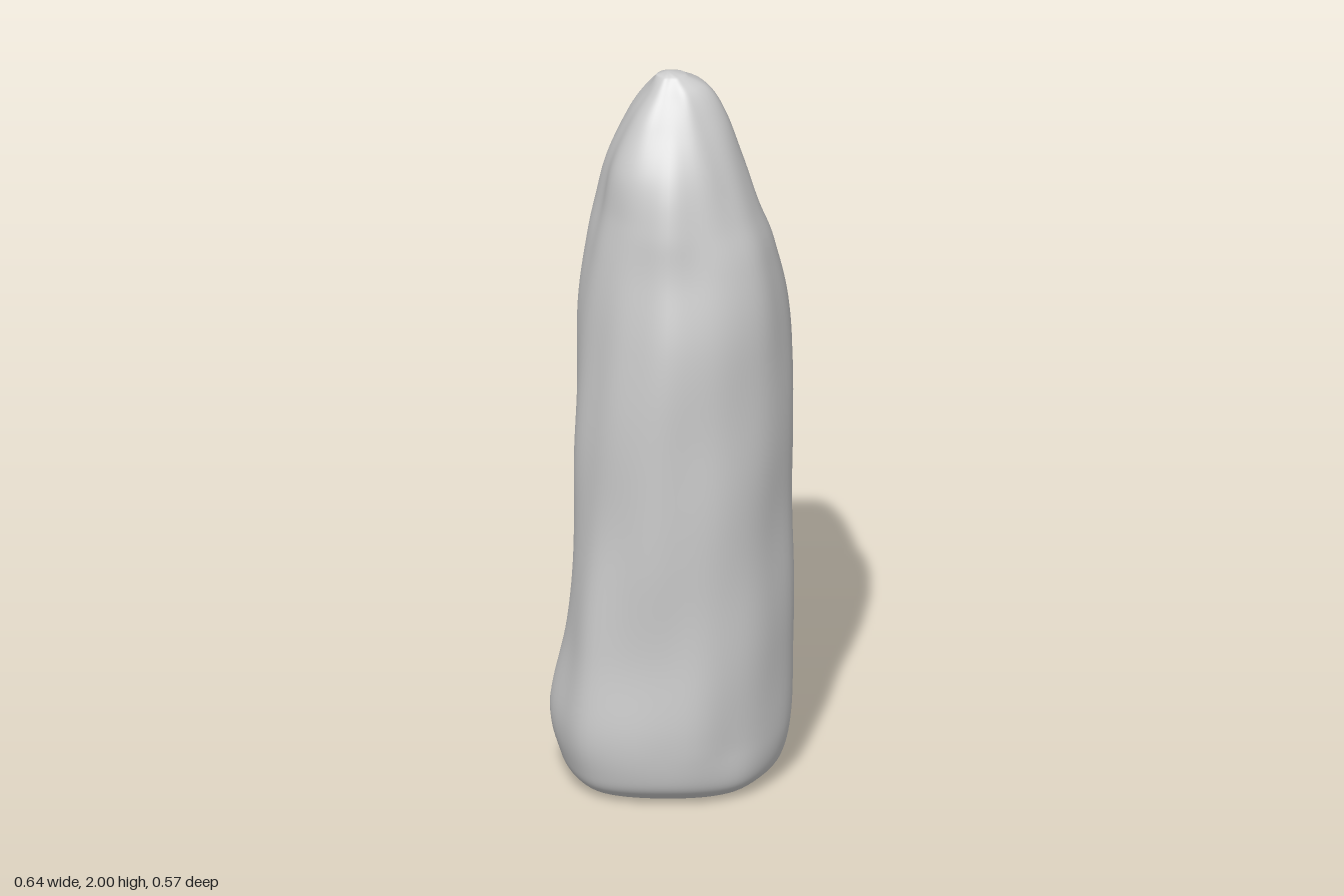
import * as THREE from 'three';

// Stone cross-sections: height, then radius toward
// +x, +x+z, +z, -x+z, -x, -x-z, -z, +x-z
const SECTIONS = [
  [0.00, 0.20, 0.20, 0.19, 0.22, 0.22, 0.18, 0.17, 0.20],
  [0.02, 0.25, 0.25, 0.23, 0.27, 0.26, 0.21, 0.21, 0.24],
  [0.07, 0.29, 0.28, 0.265, 0.30, 0.29, 0.24, 0.235, 0.275],
  [0.20, 0.312, 0.29, 0.278, 0.32, 0.315, 0.255, 0.255, 0.29],
  [0.42, 0.316, 0.295, 0.27, 0.298, 0.27, 0.275, 0.272, 0.285],
  [0.70, 0.308, 0.295, 0.277, 0.275, 0.255, 0.29, 0.278, 0.28],
  [1.00, 0.312, 0.29, 0.284, 0.26, 0.25, 0.285, 0.276, 0.305],
  [1.30, 0.305, 0.28, 0.268, 0.235, 0.242, 0.29, 0.24, 0.335],
  [1.50, 0.265, 0.25, 0.225, 0.21, 0.22, 0.265, 0.212, 0.285],
  [1.62, 0.225, 0.215, 0.205, 0.195, 0.195, 0.235, 0.195, 0.215],
  [1.75, 0.185, 0.17, 0.165, 0.18, 0.163, 0.195, 0.16, 0.19],
  [1.87, 0.145, 0.115, 0.10, 0.12, 0.11, 0.14, 0.115, 0.145],
  [1.95, 0.10, 0.07, 0.05, 0.06, 0.06, 0.08, 0.07, 0.095],
  [1.99, 0.035, 0.025, 0.02, 0.028, 0.04, 0.035, 0.03, 0.035],
];

const AROUND = 72, UP = 110;

// Shallow weathering: long vertical flutes broken up by soft dents
function weathering(a, y) {
  return 0.004 * Math.sin(5 * a + 1.6 * y + 0.6) * Math.sin(2.3 * y + a)
    + 0.003 * Math.sin(9 * a - 2.1 * y) * Math.cos(4.1 * y + 2 * a)
    + 0.002 * Math.sin(13 * y + 3 * a);
}

function stoneGeometry() {
  // Eight rails running up the stone
  const rails = Array.from({ length: 8 }, (_, k) => {
    const a = k * Math.PI / 4;
    return new THREE.CatmullRomCurve3(SECTIONS.map((s) =>
      new THREE.Vector3(s[k + 1] * Math.cos(a), s[0], s[k + 1] * Math.sin(a))), false, 'catmullrom', 0.5);
  });

  const positions = [], index = [];

  // Smooth closed loop through the rails at each level
  for (let j = 0; j <= UP; j++) {
    const loop = new THREE.CatmullRomCurve3(rails.map((r) => r.getPoint(j / UP)), true, 'catmullrom', 0.5);
    for (let i = 0; i < AROUND; i++) {
      const p = loop.getPoint(i / AROUND);
      const r = Math.hypot(p.x, p.z);
      const fade = Math.min(1, p.y / 0.15, (2 - p.y) / 0.3);
      const k = 1 + fade * weathering(Math.atan2(p.z, p.x), p.y) / r;
      positions.push(p.x * k, Math.max(0, p.y), p.z * k);
    }
  }
  for (let j = 0; j < UP; j++) {
    for (let i = 0; i < AROUND; i++) {
      const a = j * AROUND + i, b = j * AROUND + (i + 1) % AROUND;
      index.push(a, a + AROUND, b, b, a + AROUND, b + AROUND);
    }
  }

  // Close the foot and the tip
  const foot = positions.length / 3, tip = foot + 1, last = UP * AROUND;
  positions.push(0, 0, 0, -0.01, 2, 0);
  for (let i = 0; i < AROUND; i++) {
    const n = (i + 1) % AROUND;
    index.push(foot, i, n, tip, last + n, last + i);
  }

  const geometry = new THREE.BufferGeometry();
  geometry.setAttribute('position', new THREE.Float32BufferAttribute(positions, 3));
  geometry.setIndex(index);
  geometry.computeVertexNormals();
  return geometry;
}

export function createModel() {
  const group = new THREE.Group();
  group.name = 'standingStone';
  const stone = new THREE.Mesh(stoneGeometry(), new THREE.MeshStandardMaterial({ color: 0xcccccc }));
  stone.name = 'stone';
  group.add(stone);
  return group;
}
